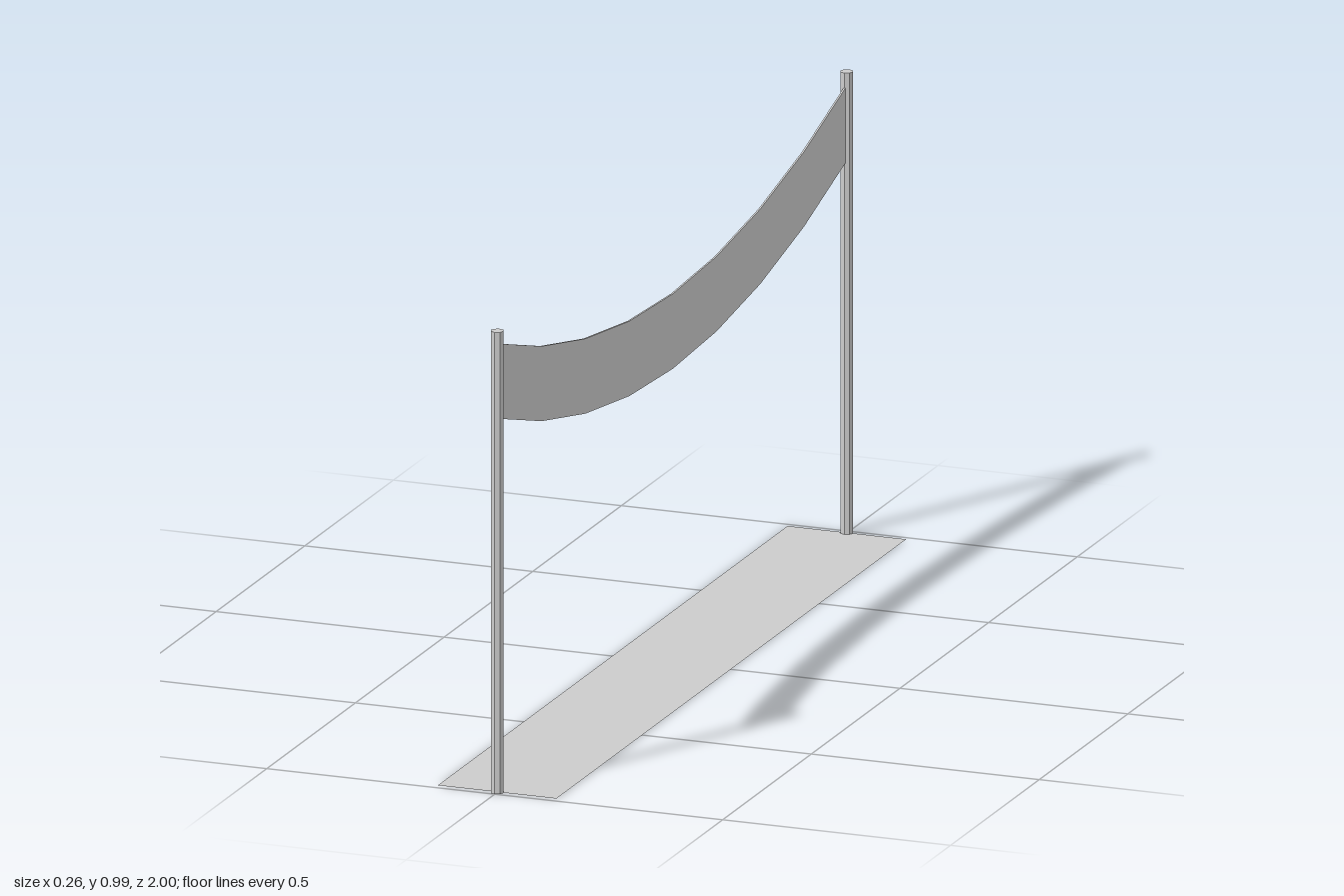
import * as THREE from 'three';

export function createModel() {
  const group = new THREE.Group();
  const mat = new THREE.MeshStandardMaterial({ color: 0xcccccc, flatShading: true });
  const thinMat = new THREE.MeshStandardMaterial({ color: 0xcccccc, side: THREE.DoubleSide });
  const span = 0.986, radius = 0.014, height = 0.986;

  const add = (name, geometry, material) => {
    const mesh = new THREE.Mesh(geometry, material);
    mesh.name = name;
    group.add(mesh);
    return mesh;
  };

  // Upright posts at the front and back ends
  for (const [name, side] of [['frontPost', 1], ['backPost', -1]]) {
    add(name, new THREE.CylinderGeometry(radius, radius, height, 8), mat)
      .position.set(0, height / 2, side * span);
  }

  // Thin banner sagging in a parabola between the posts
  const banner = new THREE.BoxGeometry(0.004, 0.16, span * 2, 1, 1, 8);
  const pos = banner.attributes.position;
  for (let i = 0; i < pos.count; i++) {
    const t = pos.getZ(i) / span;
    pos.setY(i, pos.getY(i) + 0.708 + 0.17 * t * t);
  }
  banner.computeVertexNormals();
  add('banner', banner, mat);

  // Flat strip on the ground
  const strip = new THREE.PlaneGeometry(0.26, span * 2).rotateX(-Math.PI / 2);
  add('groundStrip', strip, thinMat).position.y = 0.001;

  return group;
}
